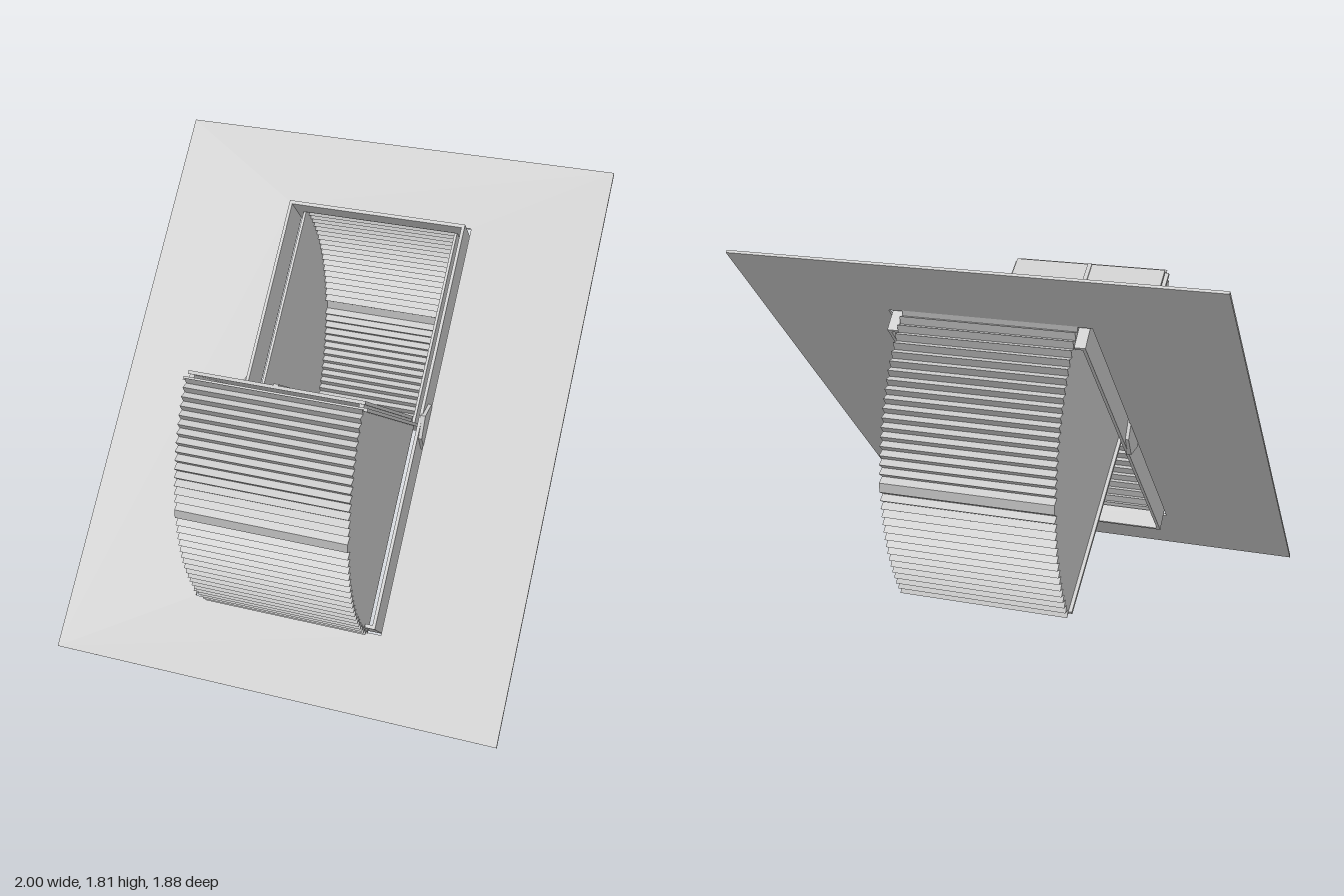
import * as THREE from 'three';

const PIVOT_Y = 0.905;
const RAD = Math.PI / 180;
const material = new THREE.MeshStandardMaterial({ color: 0xcccccc, flatShading: true, side: THREE.DoubleSide });

function add(parent, name, geometry) {
  const mesh = new THREE.Mesh(geometry, material);
  mesh.name = name;
  parent.add(mesh);
  return mesh;
}

// Box given by its limits on each axis
function slab(parent, name, x0, x1, y0, y1, z0, z1) {
  const mesh = add(parent, name, new THREE.BoxGeometry(x1 - x0, y1 - y0, z1 - z0));
  mesh.position.set((x0 + x1) / 2, (y0 + y1) / 2, (z0 + z1) / 2);
  return mesh;
}

// Extrude a (z, y) outline along x, centred on x
function sideExtrude(points, width, x = 0) {
  const g = new THREE.ExtrudeGeometry(new THREE.Shape(points), { depth: width, bevelEnabled: false });
  return g.translate(0, 0, -width / 2).rotateY(-Math.PI / 2).translate(x, 0, 0);
}

// Zigzag arc from the frame (-45 deg) to the sash (35 deg), with a flat band at 0
function pleats(rIn, rOut) {
  const pts = [];
  const at = (deg, r) => pts.push(new THREE.Vector2(r * Math.cos(deg * RAD), r * Math.sin(deg * RAD)));
  const run = (from, to, teeth) => {
    for (let i = 0; i <= teeth * 2; i++) at(from + ((to - from) * i) / (teeth * 2), i % 2 ? rIn : rOut);
  };
  run(-45, -1.2, 19);
  run(1.2, 35, 15);
  return pts;
}

// Pleated hood: corrugated skin and two sector-shaped cheeks
function makeHood(name) {
  const hood = new THREE.Group();
  hood.name = name;
  const outer = pleats(0.91, 0.94);
  const inner = pleats(0.902, 0.932).reverse();
  add(hood, 'pleatedSkin', sideExtrude([...outer, ...inner], 0.73));
  for (const s of [-1, 1]) {
    add(hood, 'hoodCheek', sideExtrude([new THREE.Vector2(0, 0), ...outer], 0.012, s * 0.359));
  }
  return hood;
}

export function createModel() {
  const model = new THREE.Group();
  model.name = 'pivotRoofWindow';
  const body = new THREE.Group();
  body.name = 'pivotAssembly';
  body.position.y = PIVOT_Y;
  model.add(body);

  // Sloping roof sheet and fixed frame
  const roof = new THREE.Group();
  roof.name = 'roofAndFrame';
  roof.rotation.x = 45 * RAD;
  body.add(roof);

  const rect = (P, w, h) => new P([[-w, -h], [w, -h], [w, h], [-w, h]].map(p => new THREE.Vector2(...p)));
  const sheet = rect(THREE.Shape, 1, 1.274);
  sheet.holes.push(rect(THREE.Path, 0.425, 0.925));
  const sheetGeo = new THREE.ExtrudeGeometry(sheet, { depth: 0.012, bevelEnabled: false });
  add(roof, 'roofSheet', sheetGeo.translate(0, 0, -0.006).rotateX(-Math.PI / 2));

  for (const s of [-1, 1]) {
    slab(roof, 'frameSideRail', s * 0.405 - 0.007, s * 0.405 + 0.007, -0.088, 0.088, -0.912, 0.912);
    // End bars are notched where a hood passes
    const z = s * 0.904;
    slab(roof, 'frameEndBar', -0.398, 0.398, s > 0 ? -0.088 : 0, s > 0 ? 0 : 0.088, z - 0.008, z + 0.008);
    for (const t of [-1, 1]) {
      const x = t * 0.383;
      slab(roof, 'frameCorner', x - 0.016, x + 0.016, s > 0 ? 0 : -0.088, s > 0 ? 0.088 : 0, z - 0.008, z + 0.008);
    }
  }

  // Swung sash with centre bar and raised cover over the outer half
  const sash = new THREE.Group();
  sash.name = 'sash';
  sash.rotation.x = -35 * RAD;
  body.add(sash);
  slab(sash, 'sashPanel', -0.38, 0.38, -0.006, 0.008, -0.915, 0.915);
  slab(sash, 'sashCover', -0.365, 0.365, 0.02, 0.034, 0.05, 0.908);
  slab(sash, 'coverCentreBar', -0.01, 0.01, 0.034, 0.04, 0.05, 0.908);
  slab(sash, 'panelCentreBar', -0.01, 0.01, 0.008, 0.014, -0.9, 0.05);
  for (const s of [-1, 1]) {
    slab(sash, 'coverSpacer', s * 0.35 - 0.01, s * 0.35 + 0.01, 0.008, 0.02, 0.05, 0.9);
  }

  // Front hood below the raised half, rear hood above the lowered half
  body.add(makeHood('frontHood'));
  const rear = makeHood('rearHood');
  rear.rotation.x = Math.PI;
  body.add(rear);
  rear.rotation.set(Math.PI, 0, 0);

  // Hexagonal pivot plates
  for (const s of [-1, 1]) {
    const hex = Array.from({ length: 6 }, (_, i) =>
      new THREE.Vector2(0.1 * Math.cos(i * 60 * RAD), 0.1 * Math.sin(i * 60 * RAD)));
    add(body, 'pivotPlate', sideExtrude(hex, 0.022, s * 0.416));
  }
  return model;
}
